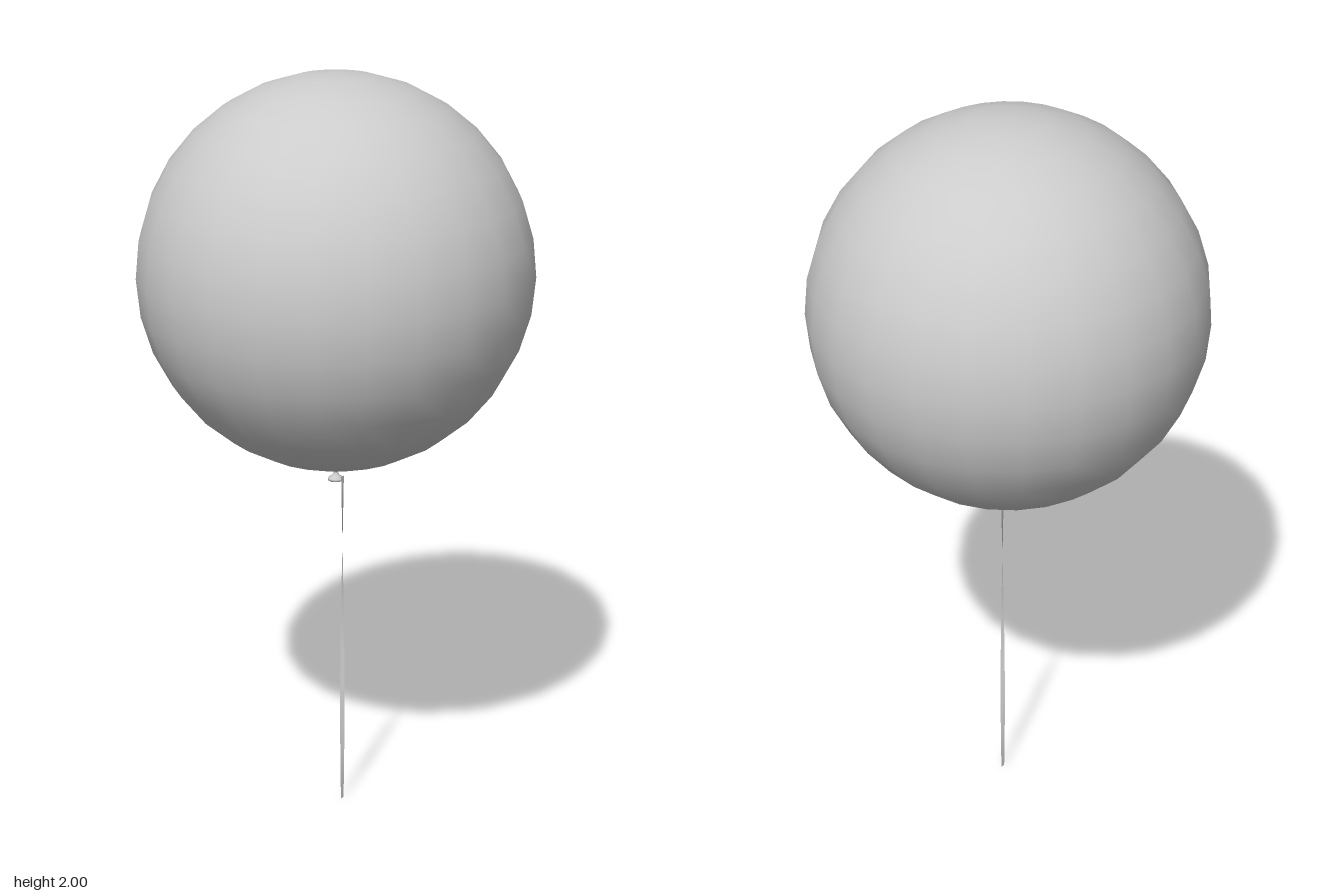
import * as THREE from 'three';

export function createModel() {
  const model = new THREE.Group();
  const material = new THREE.MeshStandardMaterial({ color: 0xcccccc });
  const thin = new THREE.MeshStandardMaterial({ color: 0xcccccc, side: THREE.DoubleSide });

  const add = (name, geometry, mat) => {
    const mesh = new THREE.Mesh(geometry, mat);
    mesh.name = name;
    model.add(mesh);
    return mesh;
  };

  // Inflated body
  add('balloon', new THREE.SphereGeometry(0.511, 24, 16), material).position.y = 1.489;

  // Tied neck: rounded knot, pinched waist and flared lip
  const profile = [
    [0, 0.928], [0.012, 0.924], [0.021, 0.926], [0.021, 0.932], [0.012, 0.938],
    [0.006, 0.946], [0.007, 0.951], [0.013, 0.956], [0.014, 0.962], [0.010, 0.969], [0.012, 0.982],
  ].map(([r, y]) => new THREE.Vector2(r, y));
  add('knot', new THREE.LatheGeometry(profile, 12), thin);

  // Flat ribbon making half a turn over its length
  const length = 0.94, halfWidth = 0.006;
  const ribbon = new THREE.PlaneGeometry(2 * halfWidth, length, 1, 32);
  const p = ribbon.attributes.position;
  for (let i = 0; i < p.count; i++) {
    const y = p.getY(i) + length / 2;
    const angle = -Math.PI * y / length;
    const w = p.getX(i);
    p.setXYZ(i, 0.022 + w * Math.sin(angle), y, w * Math.cos(angle));
  }
  ribbon.computeVertexNormals();
  add('ribbon', ribbon, thin);

  return model;
}
